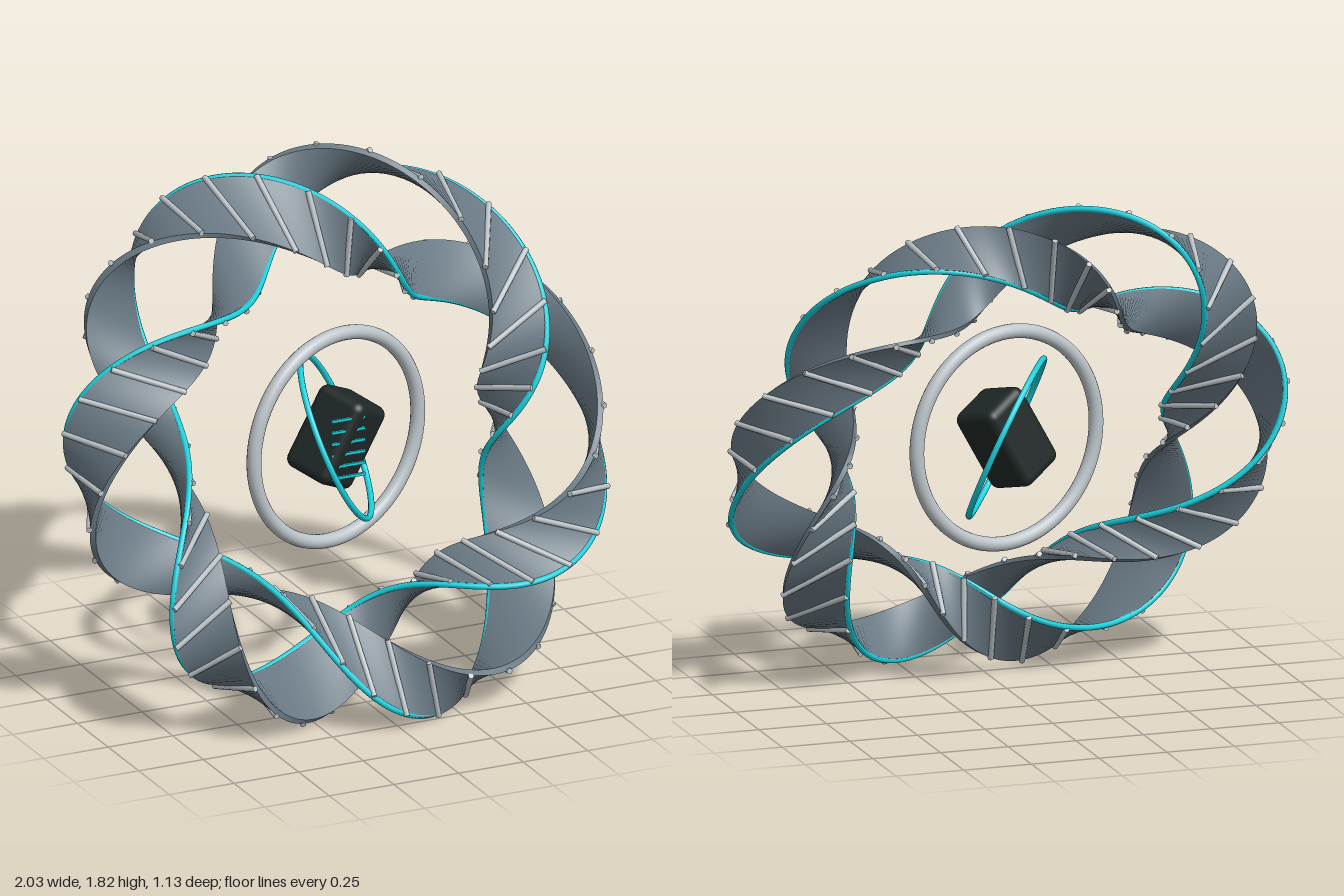
import * as THREE from 'three';
import { RoundedBoxGeometry } from 'three/addons/geometries/RoundedBoxGeometry.js';

const slate = new THREE.MeshStandardMaterial({ color: 0x687883, side: THREE.DoubleSide });
slate.name = 'slate ribbon';
const silver = new THREE.MeshStandardMaterial({ color: 0xbcc4c9 });
silver.name = 'silver metal';
const teal = new THREE.MeshStandardMaterial({ color: 0x18d0dc });
teal.name = 'teal glow';
const dark = new THREE.MeshStandardMaterial({ color: 0x1f2827 });
dark.name = 'dark core';

const RING = 0.797, COIL = 0.163, WIDTH = 0.268, THICK = 0.022;
const TURNS = 3, LEAN = 0.08, TILT = 0.42, HEIGHT = 0.9;

// Point on a ribbon: angle round the ring, offset across the ribbon, offset outward.
function ribbonPoint(theta, phase, across, out) {
  const phi = phase - TURNS * theta;
  const radial = new THREE.Vector3(Math.cos(theta), Math.sin(theta), 0);
  const tangent = new THREE.Vector3(-Math.sin(theta), Math.cos(theta), 0);
  const axis = new THREE.Vector3(0, 0, 1);
  const normal = radial.clone().multiplyScalar(Math.cos(phi)).addScaledVector(axis, Math.sin(phi));
  const side = radial.clone().multiplyScalar(-Math.sin(phi)).addScaledVector(axis, Math.cos(phi));
  const lean = LEAN * (1 - Math.cos(phi));
  side.multiplyScalar(Math.cos(lean)).addScaledVector(tangent, -Math.sin(lean));
  const p = radial.multiplyScalar(RING).addScaledVector(normal, COIL + out).addScaledVector(side, across);
  // Lean the ring back while its depth axis stays level
  return p.set(p.x, HEIGHT + p.y * Math.cos(TILT), p.z - p.y * Math.sin(TILT));
}

// Closed band with a rectangular section; each side has its own vertices for crisp edges.
function ribbonGeometry(phase, steps = 360) {
  const w = WIDTH / 2, t = THICK / 2;
  const corners = [[-w, -t], [w, -t], [w, t], [-w, t]];
  const positions = [], index = [];
  for (let s = 0; s < 4; s++) {
    const pair = [corners[s], corners[(s + 1) % 4]];
    const base = positions.length / 3;
    for (let i = 0; i < steps; i++) {
      for (const [a, o] of pair) {
        positions.push(...ribbonPoint((i / steps) * Math.PI * 2, phase, a, o).toArray());
      }
    }
    for (let i = 0; i < steps; i++) {
      const a = base + i * 2, b = base + ((i + 1) % steps) * 2;
      index.push(a, b, a + 1, a + 1, b, b + 1);
    }
  }
  const g = new THREE.BufferGeometry();
  g.setAttribute('position', new THREE.Float32BufferAttribute(positions, 3));
  g.setIndex(index);
  g.computeVertexNormals();
  return g;
}

function add(parent, name, geometry, material) {
  const mesh = new THREE.Mesh(geometry, material);
  mesh.name = name;
  parent.add(mesh);
  return mesh;
}

// Round bar between two points.
function bar(parent, name, a, b, radius, material) {
  const mesh = add(parent, name, new THREE.CylinderGeometry(radius, radius, a.distanceTo(b), 8), material);
  mesh.position.copy(a).add(b).multiplyScalar(0.5);
  mesh.quaternion.setFromUnitVectors(new THREE.Vector3(0, 1, 0), b.clone().sub(a).normalize());
}

export function createModel() {
  const model = new THREE.Group();
  model.name = 'twistedRingSculpture';

  // Tilted outer ring of two intertwined ribbons
  const outer = new THREE.Group();
  outer.name = 'twinRibbonRing';
  model.add(outer);
  for (const phase of [0, Math.PI]) {
    add(outer, 'ribbon', ribbonGeometry(phase), slate);

    // Glowing trim on one edge
    const path = [];
    for (let i = 0; i < 120; i++) {
      path.push(ribbonPoint((i / 120) * Math.PI * 2, phase, -WIDTH / 2, 0));
    }
    const curve = new THREE.CatmullRomCurve3(path, true);
    add(outer, 'edgeTrim', new THREE.TubeGeometry(curve, 360, 0.011, 8, true), teal);

    // Cross ribs on the outward face
    const ribs = 40, half = WIDTH / 2 + 0.003, lift = THICK / 2 + 0.003;
    for (let i = 0; i < ribs; i++) {
      const theta = (i / ribs) * Math.PI * 2;
      bar(outer, 'rib', ribbonPoint(theta, phase, -half, lift),
        ribbonPoint(theta, phase, half, lift), 0.0105, silver);
    }
  }

  // Inner rings
  const inner = add(model, 'innerRing', new THREE.TorusGeometry(0.382, 0.026, 16, 96), silver);
  inner.position.y = HEIGHT;
  inner.rotation.y = 0.28;
  const orbit = add(model, 'orbitRing', new THREE.TorusGeometry(0.306, 0.011, 10, 96), teal);
  orbit.position.y = HEIGHT;
  orbit.quaternion.setFromUnitVectors(
    new THREE.Vector3(0, 0, 1), new THREE.Vector3(0.8, 0.4, 0.44).normalize());

  // Core block
  const core = add(model, 'core', new RoundedBoxGeometry(0.2, 0.32, 0.2, 4, 0.035), dark);
  core.position.y = HEIGHT;
  core.rotation.set(0, 0.5, -0.5, 'ZYX');

  // Light slats in front of the core
  for (let i = 0; i < 6; i++) {
    const slat = add(model, 'coreSlat', new THREE.BoxGeometry(0.13, 0.01, 0.01), teal);
    slat.position.set(-0.005, HEIGHT - 0.108 + i * 0.043, 0.112);
  }
  return model;
}
